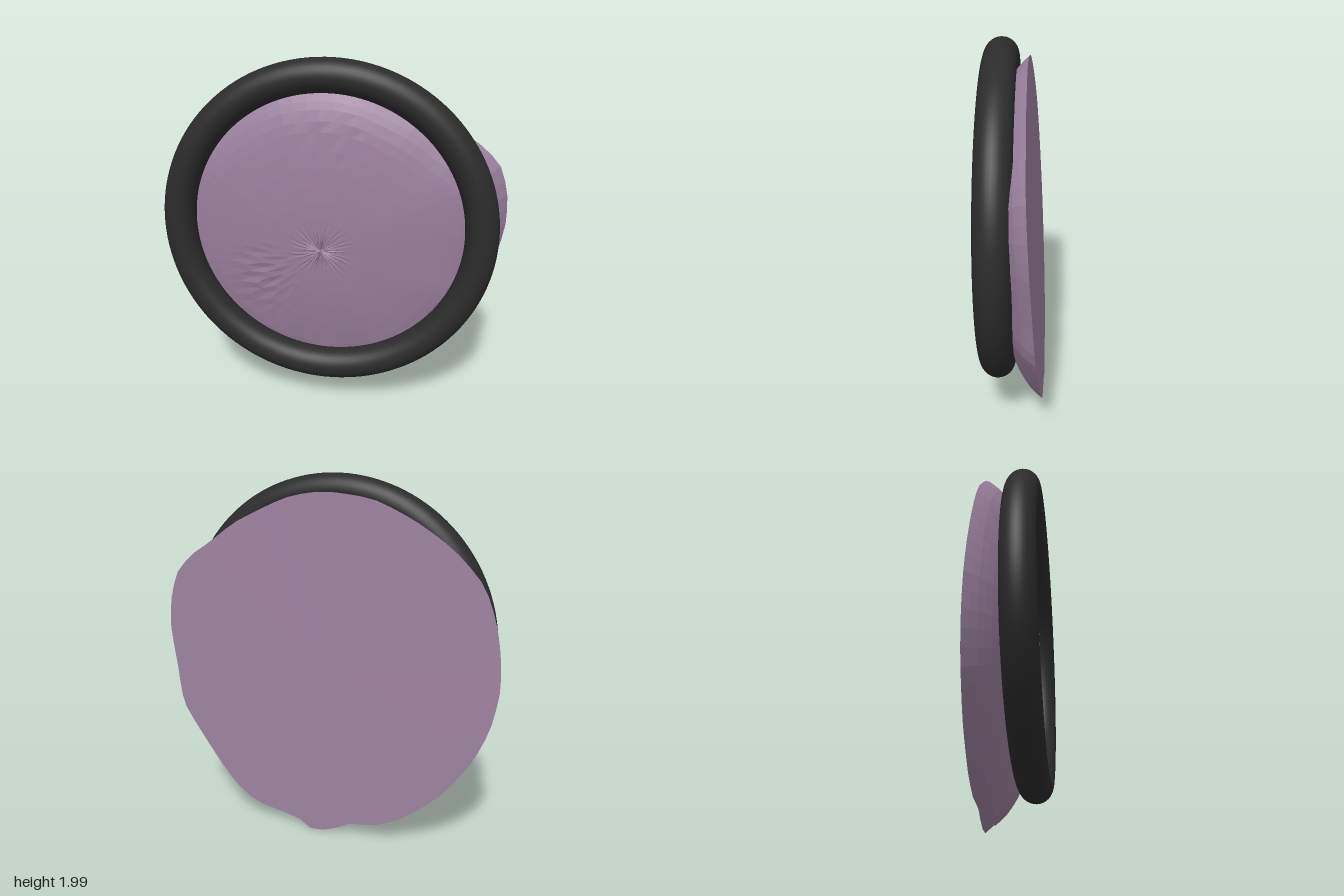
import * as THREE from 'three';

// Uneven outline of the cushion, counter-clockwise seen from the front
const OUTLINE = [
  [0.96, 1.12], [0.95, 1.3], [0.9, 1.45], [0.8, 1.55], [0.69, 1.62], [0.515, 1.74],
  [0.22, 1.87], [0, 1.905], [-0.27, 1.87], [-0.5, 1.765], [-0.7, 1.63], [-0.85, 1.47],
  [-0.92, 1.3], [-0.955, 1.13], [-0.965, 0.95], [-0.93, 0.75], [-0.85, 0.56], [-0.7, 0.35],
  [-0.5, 0.18], [-0.33, 0.1], [-0.22, 0.095], [-0.12, 0.045], [0.02, 0.002], [0.13, 0.06],
  [0.38, 0.11], [0.5, 0.18], [0.6, 0.28], [0.75, 0.47], [0.88, 0.66], [0.92, 0.88],
];
// Radial fraction and height above the tilted back plane
const PROFILE = [
  [1, 0], [0.97, 0.032], [0.94, 0.06], [0.9, 0.087], [0.86, 0.11], [0.82, 0.128], [0.76, 0.147],
  [0.7, 0.16], [0.6, 0.176], [0.5, 0.189], [0.4, 0.199], [0.3, 0.207], [0.2, 0.212], [0.12, 0.214], [0.05, 0.213],
];
const SEGMENTS = 72;
const CENTRE = [-0.03, 0.96];

const backZ = (x, y) => -0.17 + 0.058 * y + 0.021 * x;

// Shallow crumples: a star around the middle and two dented patches
function crumple(x, y, i, j) {
  const r = Math.hypot(x - CENTRE[0], y - CENTRE[1]);
  const star = Math.exp(-((r / 0.09) ** 2)) * 0.008 * Math.sin(i * 2.6);
  const patch = (px, py, sx, sy) => Math.exp(-(((x - px) / sx) ** 2) - ((y - py) / sy) ** 2);
  const wobble = Math.sin(i * 2.1 + j * 1.7);
  return star + 0.006 * wobble * (patch(-0.38, 0.75, 0.14, 0.18) + 0.5 * patch(0, 1.6, 0.22, 0.12));
}

function cushionGeometry() {
  const curve = new THREE.CatmullRomCurve3(
    OUTLINE.map(([x, y]) => new THREE.Vector3(x, y, 0)), true, 'catmullrom', 0.35);
  const rim = curve.getSpacedPoints(SEGMENTS).slice(0, SEGMENTS);
  const positions = [], index = [];

  // Domed front, from the rim inwards
  PROFILE.forEach(([t, h], j) => rim.forEach((p, i) => {
    const x = CENTRE[0] + (p.x - CENTRE[0]) * t;
    const y = CENTRE[1] + (p.y - CENTRE[1]) * t;
    positions.push(x, y, backZ(x, y) + h + (j ? crumple(x, y, i, j) : 0));
  }));
  const middle = positions.length / 3;
  positions.push(...CENTRE, backZ(...CENTRE) + 0.205);
  positions.push(...CENTRE, backZ(...CENTRE));

  for (let i = 0; i < SEGMENTS; i++) {
    const k = (i + 1) % SEGMENTS;
    for (let j = 0; j < PROFILE.length - 1; j++) {
      const a = j * SEGMENTS, b = a + SEGMENTS;
      index.push(a + i, a + k, b + k, a + i, b + k, b + i);
    }
    const last = (PROFILE.length - 1) * SEGMENTS;
    index.push(last + i, last + k, middle); // front middle
    index.push(k, i, middle + 1); // flat back
  }
  const geometry = new THREE.BufferGeometry();
  geometry.setAttribute('position', new THREE.Float32BufferAttribute(positions, 3));
  geometry.setIndex(index);
  const flat = geometry.toNonIndexed();
  flat.computeVertexNormals();
  return flat;
}

export function createModel() {
  const group = new THREE.Group();
  group.name = 'ringedCushion';

  const mauve = new THREE.MeshStandardMaterial({ color: 0x9b819d });
  mauve.name = 'mauve';
  const black = new THREE.MeshStandardMaterial({ color: 0x2b2b2b });
  black.name = 'black';

  // Smooth round frame in front
  const ring = new THREE.Mesh(new THREE.TorusGeometry(0.832, 0.088, 32, 128), black);
  ring.name = 'ring';
  ring.position.set(0, 1.08, 0.083);

  // Faceted cushion, cut flat at the back
  const cushion = new THREE.Mesh(cushionGeometry(), mauve);
  cushion.name = 'cushion';

  group.add(ring, cushion);
  return group;
}
